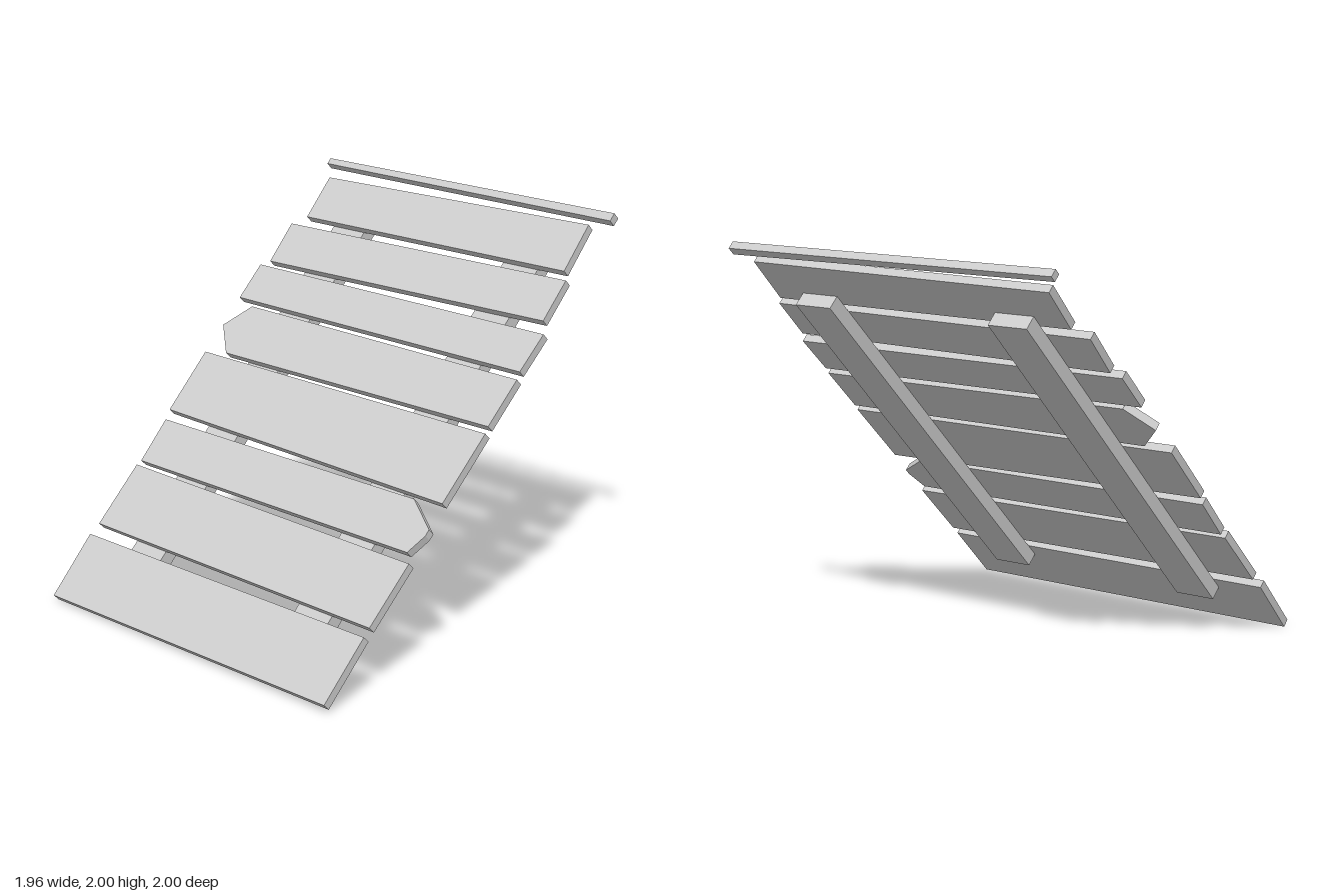
import * as THREE from 'three';

// Sloping panel of rough boards nailed across two battens, leaning back 45 degrees.
const FRONT = 1.03 / Math.SQRT2; // distance of the board faces along the panel normal
const BOARD = 0.043;             // board thickness
const BATTEN = 0.073;            // batten thickness

export function createModel() {
  const wood = new THREE.MeshStandardMaterial({ color: 0xcccccc });
  wood.name = 'pale grey wood';
  const model = new THREE.Group();
  model.name = 'boardPanel';
  const panel = new THREE.Group();
  panel.name = 'slopedBoards';
  panel.rotation.x = -Math.PI / 4;
  model.add(panel);

  // Outline points are [x, height of the front face]; height converts to distance up the slope.
  const slab = (name, points, back, thickness) => {
    const shape = new THREE.Shape(
      points.map(([x, y]) => new THREE.Vector2(x, (2 * y - 1.03) / Math.SQRT2)));
    const geometry = new THREE.ExtrudeGeometry(shape, { depth: thickness, bevelEnabled: false });
    geometry.translate(0, 0, back);
    const mesh = new THREE.Mesh(geometry, wood);
    mesh.name = name;
    panel.add(mesh);
  };

  // Uneven boards from bottom to top, two with broken pointed ends
  const boards = [
    [[-0.965, 0.033], [0.965, 0.045], [0.965, 0.3], [-0.98, 0.292]],
    [[-0.965, 0.34], [0.965, 0.335], [0.975, 0.583], [-0.962, 0.597]],
    [[-0.95, 0.617], [0.93, 0.617], [0.975, 0.69], [0.975, 0.715], [0.8, 0.8], [-0.96, 0.797]],
    [[-0.975, 0.838], [0.965, 0.814], [0.975, 1.093], [-0.98, 1.097]],
    [[-0.84, 1.115], [0.968, 1.12], [0.975, 1.31], [-0.86, 1.322], [-0.975, 1.22]],
    [[-0.98, 1.345], [0.965, 1.34], [0.975, 1.495], [-0.98, 1.497]],
    [[-0.93, 1.52], [0.93, 1.543], [0.925, 1.71], [-0.945, 1.693]],
    [[-0.87, 1.735], [0.885, 1.743], [0.87, 1.937], [-0.885, 1.918]],
    [[-0.96, 1.975], [0.975, 1.968], [0.975, 2], [-0.96, 2]],
  ];
  boards.forEach((points, i) => slab(`board${i + 1}`, points, FRONT - BOARD, BOARD));

  // Two battens behind the boards
  for (const [name, x] of [['rightBatten', -0.59], ['leftBatten', 0.585]]) {
    const a = x - 0.11, b = x + 0.11;
    slab(name, [[a, 0.24], [b, 0.24], [b, 1.785], [a, 1.785]], FRONT - BOARD - BATTEN, BATTEN);
  }
  return model;
}
